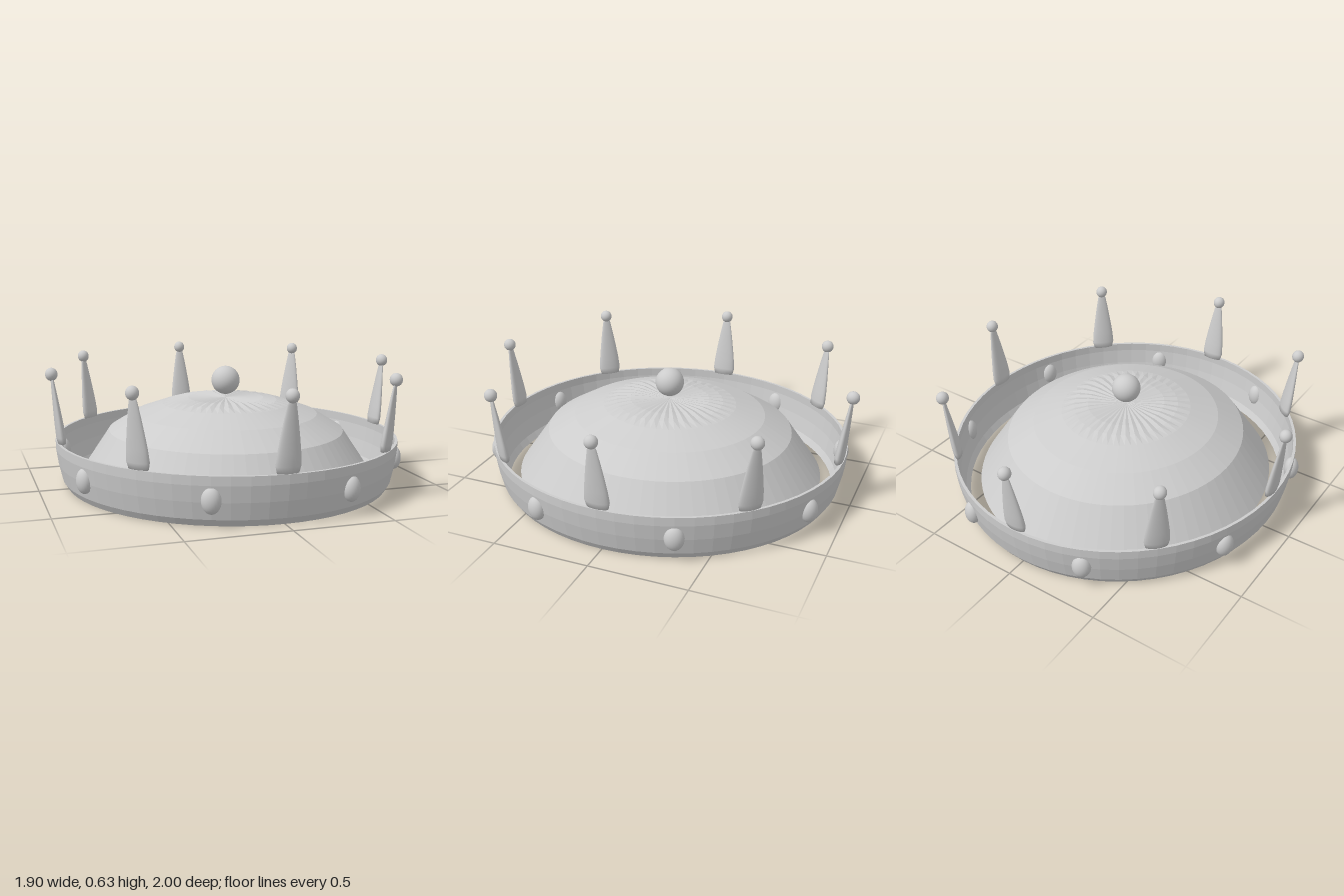
import * as THREE from 'three';

const silver = new THREE.MeshStandardMaterial({ color: 0xcccccc, side: THREE.DoubleSide });
silver.name = 'silver';

// Facets a geometry by giving each face its own normals
function faceted(geometry) {
  const g = geometry.toNonIndexed();
  g.computeVertexNormals();
  return g;
}

function lathe(points, segments) {
  return new THREE.LatheGeometry(points.map(([r, y]) => new THREE.Vector2(r, y)), segments);
}

function add(parent, name, geometry, x = 0, y = 0, z = 0) {
  const mesh = new THREE.Mesh(geometry, silver);
  mesh.name = name;
  mesh.position.set(x, y, z);
  parent.add(mesh);
  return mesh;
}

export function createModel() {
  const crown = new THREE.Group();
  crown.name = 'crown';
  // The whole crown is a slight oval, longer from front to back
  const oval = new THREE.Group();
  oval.name = 'ovalCrown';
  oval.scale.x = 0.947;
  crown.add(oval);

  // Thin head band, flaring upwards
  add(oval, 'band', faceted(lathe([
    [0.882, 0], [0.895, 0], [0.918, 0.035], [0.938, 0.12], [0.95, 0.2], [0.95, 0.245],
    [0.935, 0.245], [0.935, 0.2], [0.923, 0.12], [0.903, 0.035], [0.882, 0],
  ], 64)));

  // Open cap with fine pleats gathered around the crown button
  const segments = 72;
  const cap = lathe([
    [0.82, 0.04], [0.655, 0.275], [0.51, 0.36], [0.355, 0.412],
    [0.285, 0.428], [0.21, 0.438], [0, 0.438],
  ], segments);
  const p = cap.attributes.position;
  for (let i = 0; i < p.count; i++) {
    const r = Math.hypot(p.getX(i), p.getZ(i));
    const column = Math.round(Math.atan2(p.getX(i), p.getZ(i)) / (2 * Math.PI) * segments);
    if (r > 0.2 && r < 0.3) p.setY(i, p.getY(i) + (column % 2 ? 0.003 : -0.003));
  }
  add(oval, 'cap', faceted(cap));

  // Ball on top of the cap
  const button = add(oval, 'topBall', new THREE.SphereGeometry(0.075, 32, 20), 0, 0.53, 0);
  button.scale.x = 1 / 0.947;

  // Flattened spikes leaning outwards, each with a small ball
  const spikeShape = lathe([
    [0, -0.005], [0.056, -0.005], [0.065, 0.03], [0.06, 0.09], [0.05, 0.16],
    [0.037, 0.24], [0.024, 0.31], [0.014, 0.345], [0, 0.35],
  ], 24);
  spikeShape.scale(1, 1, 0.38);
  const ballShape = new THREE.SphereGeometry(0.033, 20, 14);
  const gemShape = new THREE.SphereGeometry(1, 24, 16);
  gemShape.scale(0.049, 0.063, 0.04);

  for (let i = 0; i < 8; i++) {
    const point = new THREE.Group();
    point.name = 'point';
    point.rotation.y = i * Math.PI / 4;
    const spike = add(point, 'spike', spikeShape, 0, 0.25, 0.925);
    spike.rotation.x = Math.atan2(0.043, 0.35);
    add(point, 'spikeBall', ballShape, 0, 0.6, 0.968);
    oval.add(point);

    // Oval studs set in the band between the spikes
    const setting = new THREE.Group();
    setting.name = 'setting';
    setting.rotation.y = (i + 0.5) * Math.PI / 4;
    add(setting, 'stud', gemShape, 0, 0.13, 0.938);
    oval.add(setting);
  }
  return crown;
}
